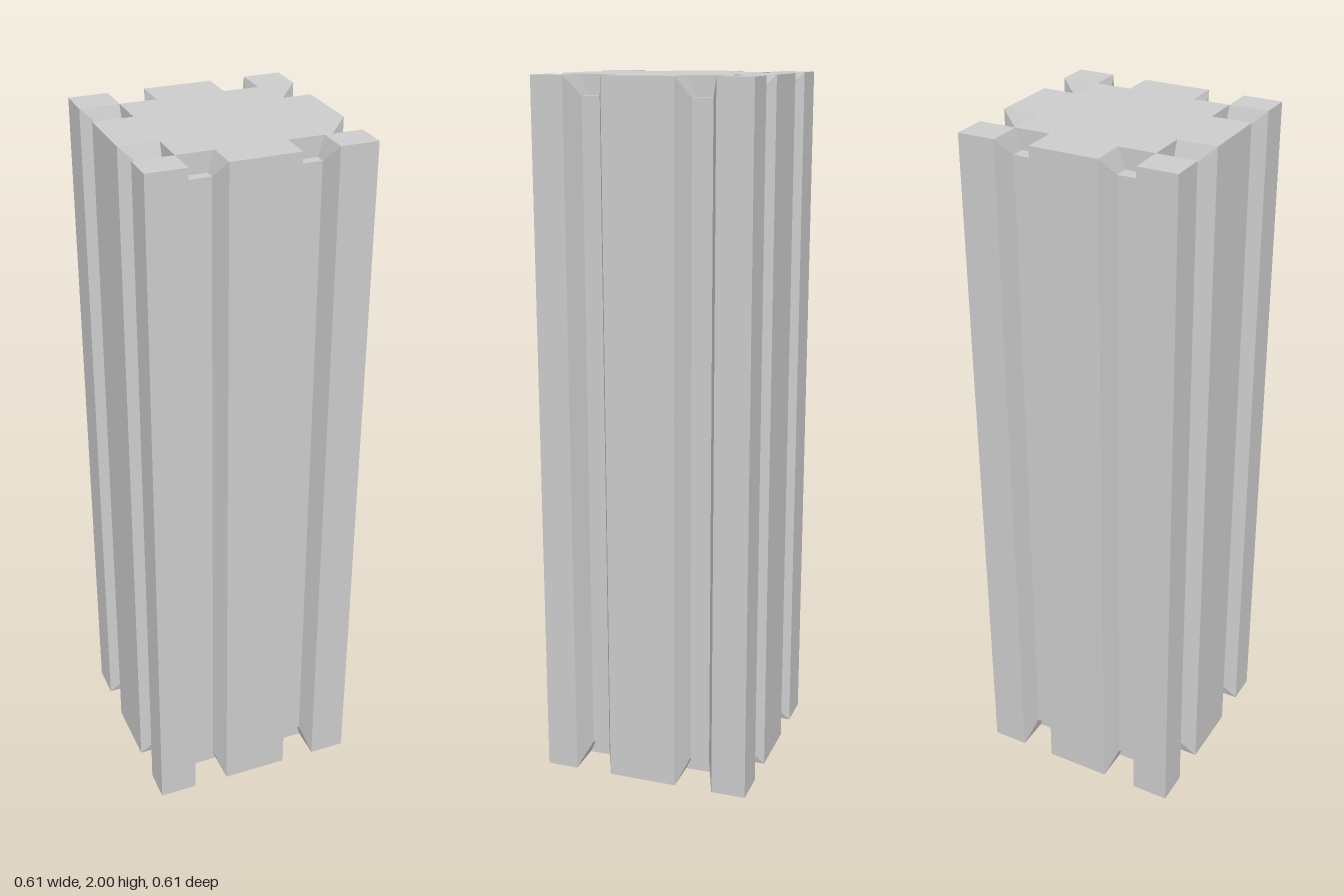
import * as THREE from 'three';

const H = 2, LOW = 0.06, HIGH = 1.945, OUT = 0.305;
const X = [-OUT, -0.195, -0.092, 0.10, 0.20, OUT]; // grid lines across
const Z = [-OUT, -0.205, -0.093, 0.107, 0.214, OUT];

const material = new THREE.MeshStandardMaterial({ color: 0xcccccc, flatShading: true });

// Collects flat quads; each is wound so that it faces the hint direction.
function quadBuilder() {
  const positions = [];
  const V = (p) => new THREE.Vector3(...p);
  return {
    quad(a, b, c, d, hint) {
      const n = V(b).sub(V(a)).cross(V(c).sub(V(a)));
      if (n.dot(V(hint)) < 0) [b, d] = [d, b];
      positions.push(...a, ...b, ...c, ...a, ...c, ...d);
    },
    mesh(name) {
      const g = new THREE.BufferGeometry();
      g.setAttribute('position', new THREE.Float32BufferAttribute(positions, 3));
      g.computeVertexNormals();
      const m = new THREE.Mesh(g, material);
      m.name = name;
      return m;
    },
  };
}

// The four sides: u runs along the side, w points out of it.
// floors: u range of each sunken groove floor; depth: w of the floors.
const frontFloors = [[-0.175, -0.112], [0.118, 0.183]];
const sides = [
  { name: 'front', at: (u, y, w) => [u, y, w], U: X, outer: OUT, inner: Z[4], depth: 0.243, floors: frontFloors },
  { name: 'back', at: (u, y, w) => [u, y, w], U: X, outer: -OUT, inner: Z[1], depth: -0.245, floors: frontFloors },
  { name: 'left', at: (u, y, w) => [w, y, u], U: Z, outer: OUT, inner: X[4], depth: 0.243, floors: [[-0.178, -0.12], [0.135, 0.186]] },
  { name: 'right', at: (u, y, w) => [w, y, u], U: Z, outer: -OUT, inner: X[1], depth: -0.245, floors: [[-0.186, -0.112], [0.128, 0.195]] },
];

// Top and bottom faces, leaving out the cells where the grooves run out
function makeCaps() {
  const b = quadBuilder();
  const rim = (i) => i === 0 || i === 4, slot = (i) => i === 1 || i === 3;
  for (const y of [0, H])
    for (let i = 0; i < 5; i++)
      for (let j = 0; j < 5; j++) {
        if ((rim(i) && slot(j)) || (slot(i) && rim(j))) continue;
        b.quad([X[i], y, Z[j]], [X[i + 1], y, Z[j]], [X[i + 1], y, Z[j + 1]], [X[i], y, Z[j + 1]], [0, y - 1, 0]);
      }
  return b.mesh('endCaps');
}

// Flat outer strips of one side
function makeStrips({ name, at, U, outer }) {
  const b = quadBuilder();
  for (const i of [0, 2, 4])
    b.quad(at(U[i], 0, outer), at(U[i + 1], 0, outer), at(U[i + 1], H, outer), at(U[i], H, outer), at(0, 0, outer));
  return b.mesh(name + 'Strips');
}

// Tapered groove that wraps over both ends of the column
function makeGroove({ name, at, U, outer, inner, depth, floors }, k) {
  const b = quadBuilder();
  const [u0, u1] = [U[1 + 2 * k], U[2 + 2 * k]], [f0, f1] = floors[k];
  b.quad(at(f0, LOW, depth), at(f1, LOW, depth), at(f1, HIGH, depth), at(f0, HIGH, depth), at(0, 0, outer));
  for (const [u, f, s] of [[u0, f0, 1], [u1, f1, -1]]) {
    // long flank
    b.quad(at(u, 0, outer), at(u, H, outer), at(f, HIGH, depth), at(f, LOW, depth), at(s, 0, 0));
    // short flanks at the ends
    for (const [y, e] of [[0, LOW], [H, HIGH]])
      b.quad(at(u, y, inner), at(u, y, outer), at(f, e, depth), at(f, e, inner), at(s, 0, 0));
  }
  for (const [y, e] of [[0, LOW], [H, HIGH]]) {
    // ledge and back wall at each end
    b.quad(at(f0, e, inner), at(f1, e, inner), at(f1, e, depth), at(f0, e, depth), [0, y - 1, 0]);
    b.quad(at(u0, y, inner), at(u1, y, inner), at(f1, e, inner), at(f0, e, inner), at(0, 0, outer));
  }
  return b.mesh(name + 'Groove' + (k + 1));
}

export function createModel() {
  const column = new THREE.Group();
  column.name = 'groovedColumn';
  column.add(makeCaps());
  for (const side of sides)
    column.add(makeStrips(side), makeGroove(side, 0), makeGroove(side, 1));
  return column;
}
